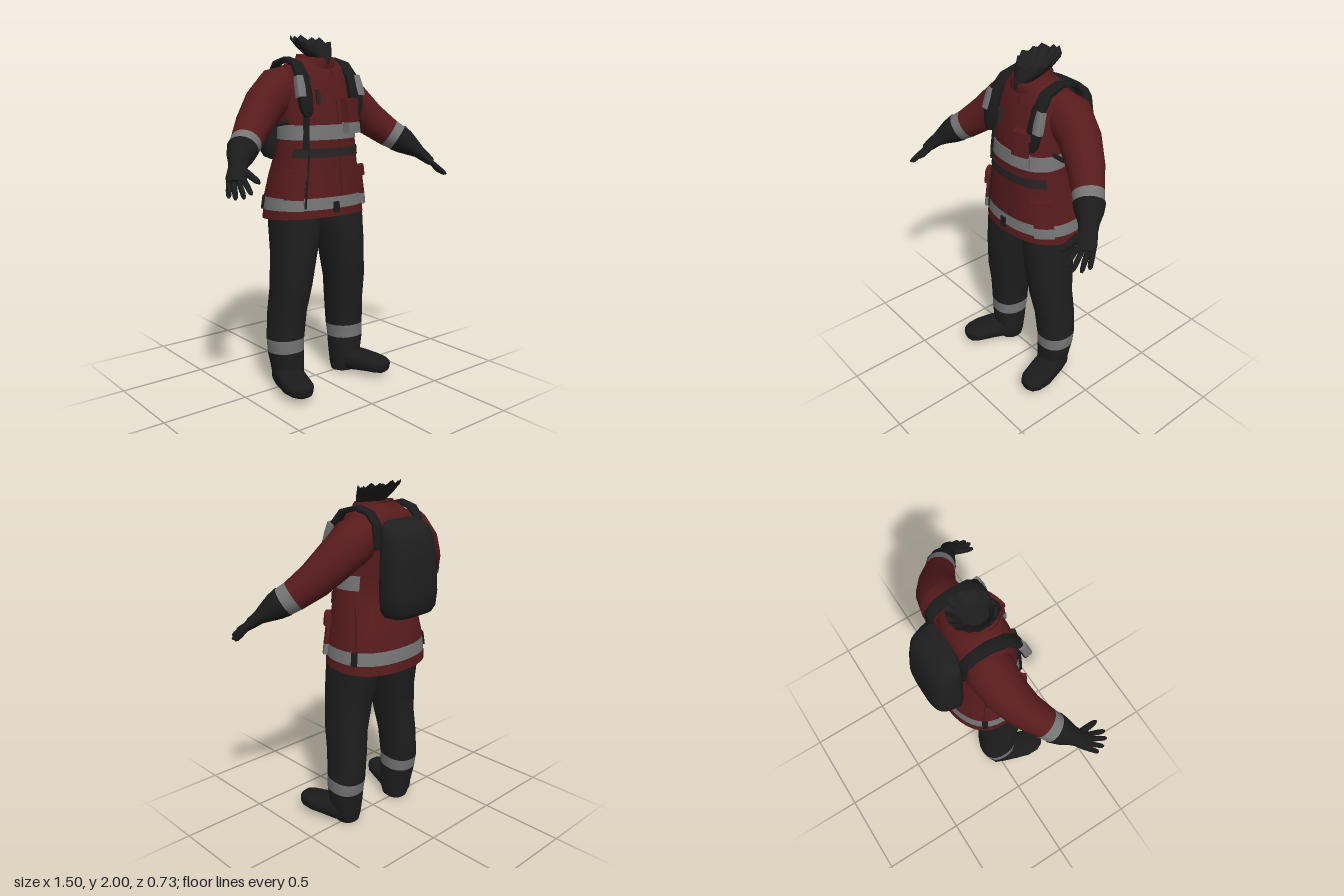
import * as THREE from 'three';
import { toCreasedNormals } from 'three/addons/utils/BufferGeometryUtils.js';

const V = (x, y, z) => new THREE.Vector3(x, y, z);
const pow = (c, e) => Math.sign(c) * Math.abs(c) ** (2 / e);
const rad = THREE.MathUtils.degToRad;

export function createModel() {
  const group = new THREE.Group();
  const mat = (name, color) => Object.assign(new THREE.MeshStandardMaterial({ color }), { name });
  const red = mat('jacket red', 0x571b1d);
  const darkRed = mat('seam dark red', 0x451718);
  const silver = mat('reflective grey', 0x757575);
  const black = mat('trouser black', 0x1e1e1e);
  const gear = mat('gear black', 0x1b1b1b);
  const belt = mat('belt charcoal', 0x292222);

  const add = (name, geo, m) => {
    const mesh = new THREE.Mesh(geo, m);
    mesh.name = name;
    group.add(mesh);
    return mesh;
  };

  // Skin a list of rings; mats may hold one material per band between rings
  function loft(name, rings, mats, crease = 38) {
    const n = rings[0].length, pos = [], idx = [], list = [].concat(mats);
    const geo = new THREE.BufferGeometry(), palette = [...new Set(list)];
    rings.forEach(r => r.forEach(p => pos.push(p.x, p.y, p.z)));
    const bandMat = i => palette.indexOf(list[Math.min(i, list.length - 1)]);
    const cap = (r, flip) => {
      const c = rings[r].reduce((a, p) => a.add(p), V(0, 0, 0)).divideScalar(n);
      const ci = pos.push(c.x, c.y, c.z) / 3 - 1, start = idx.length;
      for (let j = 0; j < n; j++) {
        const a = r * n + j, b = r * n + (j + 1) % n;
        idx.push(ci, flip ? b : a, flip ? a : b);
      }
      geo.addGroup(start, idx.length - start, bandMat(r));
    };
    for (let i = 0; i < rings.length - 1; i++) {
      const start = idx.length;
      for (let j = 0; j < n; j++) {
        const a = i * n + j, b = i * n + (j + 1) % n;
        idx.push(a, b, b + n, a, b + n, a + n);
      }
      geo.addGroup(start, idx.length - start, bandMat(i));
    }
    cap(0, true);
    cap(rings.length - 1, false);
    geo.setIndex(idx);
    geo.setAttribute('position', new THREE.Float32BufferAttribute(pos, 3));
    return add(name, toCreasedNormals(geo, rad(crease)), palette);
  }

  // Level ring spanning zf (front) to zb (back); may be tilted, ragged or narrowed to the back
  const ring = (y, cx, rx, zf, zb, { n = 28, e = 2.3, tilt = 0, jag = 0, taper = 0 } = {}) =>
    Array.from({ length: n }, (_, i) => {
      const a = i / n * Math.PI * 2, q = -pow(Math.sin(a), e), dz = q * (zf - zb) / 2;
      return V(cx + rx * (1 + taper * q) * pow(Math.cos(a), e),
        y + tilt * dz + jag * ((i * 7) % 5) / 4, (zf + zb) / 2 + dz);
    });

  // Sweep along points [x, y, z, halfWidth, halfThickness]
  function sweep(name, pts, mats, { n = 14, e = 2, axis = null } = {}) {
    const P = pts.map(p => V(p[0], p[1], p[2]));
    const rings = P.map((p, i) => {
      const t = P[Math.min(i + 1, P.length - 1)].clone().sub(P[Math.max(i - 1, 0)]).normalize();
      const u = axis ? axis.clone() : V(0, 0, 0).crossVectors(t, V(0, 1, 0)).normalize();
      const v = V(0, 0, 0).crossVectors(t, u).normalize();
      return Array.from({ length: n }, (_, j) => {
        const a = j / n * Math.PI * 2;
        return p.clone().addScaledVector(u, pow(Math.cos(a), e) * pts[i][3])
          .addScaledVector(v, pow(Math.sin(a), e) * (pts[i][4] ?? pts[i][3]));
      });
    });
    return loft(name, rings, mats);
  }

  // Jacket profile: y, half width, front z, back z
  const body = [
    [0.99, 0.305, 0.205, -0.25], [1.04, 0.3, 0.2, -0.245], [1.11, 0.29, 0.195, -0.238],
    [1.22, 0.268, 0.188, -0.217], [1.35, 0.243, 0.178, -0.172], [1.43, 0.233, 0.175, -0.156],
    [1.51, 0.225, 0.168, -0.158], [1.65, 0.222, 0.148, -0.183], [1.76, 0.215, 0.118, -0.188],
    [1.82, 0.185, 0.098, -0.165], [1.865, 0.125, 0.07, -0.115]];
  const shell = body.map(([y, ...r], i) => ring(y, 0, ...r, { n: 40, tilt: i < 3 ? 0.08 - i * 0.025 : 0 }));
  // The first ring is the dark lining recessed above the hem
  loft('jacket', [ring(1.09, 0, 0.283, 0.185, -0.228, { n: 40 }), ...shell], [black, red, silver, red]);

  // Plate wrapped on the jacket between two angles (0 = left side, 90 = front)
  function plate(name, a0, a1, y0, y1, depth, m) {
    const geo = new THREE.BoxGeometry(1, 1, 1, Math.ceil((a1 - a0) / 9) + 4, 4, 1), p = geo.attributes.position;
    for (let i = 0; i < p.count; i++) {
      const a = rad(a0 + (a1 - a0) * (0.5 - p.getX(i))), y = y0 + (y1 - y0) * (p.getY(i) + 0.5);
      let k = 0;
      while (k < body.length - 2 && body[k + 1][0] < y) k++;
      const f = (y - body[k][0]) / (body[k + 1][0] - body[k][0]);
      const [, rx, zf, zb] = body[k].map((v, q) => v + (body[k + 1][q] - v) * f);
      const off = p.getZ(i) > 0 ? depth : -0.012;
      p.setXYZ(i, (rx + off) * pow(Math.cos(a), 2.3), y,
        (zf + zb) / 2 + ((zf - zb) / 2 + off) * pow(Math.sin(a), 2.3));
    }
    geo.computeVertexNormals();
    add(name, geo, m);
  }
  plate('chestBand', -36, 216, 1.43, 1.51, 0.004, silver);
  plate('waistBelt', 25, 155, 1.335, 1.385, 0.006, belt);
  plate('frontSeam', 84.5, 85.5, 1.12, 1.8, 0.002, darkRed);
  plate('frontClip', 89, 94, 1.03, 1.09, 0.008, gear);
  plate('chestPouch', 53, 77, 1.52, 1.645, 0.044, red);
  plate('chestPouchBand', 52, 78, 1.46, 1.52, 0.046, silver);
  plate('chestPouchFlap', 52, 78, 1.61, 1.65, 0.05, red);
  plate('harnessTail', 128, 138, 1.38, 1.58, 0.015, gear);
  plate('harnessCord', 126, 129, 1.06, 1.38, 0.006, gear);
  plate('chestToggle', 108, 114, 1.62, 1.7, 0.02, belt);
  for (const side of [1, -1]) {
    const at = (name, a0, a1, ...rest) =>
      plate(name, side > 0 ? a0 : 180 - a1, side > 0 ? a1 : 180 - a0, ...rest);
    at('hipPocket', 24, 50, 1.11, 1.25, 0.022, red);
    at('hipPocketBand', 24, 50, 1.05, 1.11, 0.022, silver);
    at('hipPocketFlap', 22, 52, 1.215, 1.27, 0.036, red);
    at('sideSeam', -29, -27, 1.11, 1.34, 0.004, darkRed);
    at('hemClip', -31, -23, 1.035, 1.11, 0.012, gear);
  }

  // Collar with an outward lip, and the ragged black lining that dips to a V at the throat
  const c = { n: 28, e: 2, tilt: -0.12 };
  loft('collar', [ring(1.81, 0, 0.15, 0.1, -0.15, c), ring(1.865, 0, 0.108, 0.112, -0.115, c),
    ring(1.88, 0, 0.098, 0.105, -0.118, c), ring(1.845, 0, 0.08, 0.07, -0.1, c)], red);
  const t = { n: 32, e: 2, tilt: -0.2 };
  loft('collarLining', [ring(1.85, 0, 0.022, 0.118, -0.06, t), ring(1.885, 0, 0.062, 0.112, -0.1, t),
    ring(1.92, 0, 0.092, 0.095, -0.132, t), ring(1.952, 0, 0.11, 0.075, -0.168, { ...t, jag: 0.025 }),
    ring(1.948, 0, 0.102, 0.066, -0.16, { ...t, jag: 0.025 }), ring(1.895, 0, 0.055, 0.045, -0.095, t)], black);

  // Air pack on the back
  const k = { n: 32, e: 3.4, taper: -0.1 }, slope = { ...k, tilt: 0.23 };
  k.taper = slope.taper = 0.1;
  loft('backpack', [ring(1.293, -0.008, 0.12, -0.215, -0.315, k), ring(1.306, -0.008, 0.15, -0.2, -0.342, k),
    ring(1.338, -0.008, 0.168, -0.188, -0.36, k), ring(1.42, -0.008, 0.174, -0.182, -0.368, k),
    ring(1.58, -0.008, 0.168, -0.18, -0.358, k), ring(1.71, -0.008, 0.156, -0.18, -0.342, k),
    ring(1.765, -0.008, 0.145, -0.18, -0.318, slope), ring(1.793, -0.008, 0.12, -0.185, -0.28, slope)], black);

  for (const s of [1, -1]) {
    const m = pts => pts.map(([x, ...r]) => [x * s, ...r]);

    // Trouser leg with reflective ankle band, running down into the heel
    const l = { n: 24, e: 2.3, tilt: 0.1 };
    loft('trouserLeg', [
      [0.01, 0.207, 0.07, 0.09, -0.058], [0.05, 0.211, 0.084, 0.1, -0.068],
      [0.15, 0.216, 0.092, 0.108, -0.088], [0.22, 0.222, 0.098, 0.11, -0.1],
      [0.295, 0.22, 0.099, 0.112, -0.115], [0.45, 0.21, 0.1, 0.125, -0.12], [0.6, 0.195, 0.107, 0.152, -0.11],
      [0.8, 0.172, 0.12, 0.165, -0.125], [0.95, 0.155, 0.133, 0.163, -0.155], [1.1, 0.147, 0.135, 0.15, -0.175],
    ].map(([y, cx, ...r]) => ring(y, cx * s, ...r, l)), [black, black, black, silver, black]);

    // Boot
    sweep('boot', m([[0.215, 0.074, -0.035, 0.07, 0.06], [0.23, 0.074, 0.04, 0.085, 0.064],
      [0.258, 0.078, 0.12, 0.086, 0.055], [0.281, 0.077, 0.19, 0.086, 0.046],
      [0.291, 0.077, 0.25, 0.075, 0.042], [0.296, 0.077, 0.285, 0.052, 0.038],
      [0.298, 0.075, 0.3, 0.025, 0.025]]), gear, { n: 20, e: 2.8 });

    // Sleeve with reflective cuff
    sweep('sleeve', m([[0.12, 1.735, -0.065, 0.1], [0.205, 1.698, -0.072, 0.126], [0.315, 1.614, -0.052, 0.113],
      [0.42, 1.512, 0, 0.098], [0.508, 1.434, 0.066, 0.084], [0.562, 1.396, 0.107, 0.077]]),
      [red, red, red, red, silver], { n: 20 });
    sweep('sleeveTab', m([[0.23, 1.525, 0.05, 0.012], [0.3, 1.515, 0.04, 0.012]]), gear, { n: 6 });

    // Glove: gauntlet and palm, then fingers and thumb
    sweep('glove', m([[0.55, 1.405, 0.098, 0.083], [0.583, 1.377, 0.128, 0.073], [0.618, 1.345, 0.163, 0.053],
      [0.642, 1.32, 0.19, 0.048, 0.038], [0.672, 1.284, 0.226, 0.053, 0.03],
      [0.69, 1.26, 0.25, 0.048, 0.022]]), gear, { n: 16 });
    const knuckles = [[0.656, 1.266, 0.278], [0.679, 1.259, 0.266], [0.699, 1.255, 0.246], [0.716, 1.252, 0.226]];
    const tips = [[0.672, 1.215, 0.36], [0.708, 1.198, 0.35], [0.734, 1.19, 0.315], [0.746, 1.195, 0.272]];
    const finger = (name, a, b, r) => {
      const mix = f => a.map((v, i) => v + (b[i] - v) * f);
      sweep(name, m([[...mix(-0.25), r], [...mix(0.5), r], [...mix(0.85), r * 0.85], [...mix(1), r * 0.4]]), gear, { n: 8 });
    };
    knuckles.forEach((a, i) => finger('finger', a, tips[i], 0.0145));
    finger('thumb', [0.628, 1.32, 0.21], [0.612, 1.262, 0.34], 0.018);

    // Pack strap over the shoulder with reflective patch
    const flat = { n: 12, e: 4, axis: V(1, 0, 0) };
    sweep('shoulderStrap', m([[0.15, 1.66, -0.195, 0.028, 0.01], [0.156, 1.79, -0.188, 0.03, 0.011],
      [0.158, 1.843, -0.14, 0.032, 0.012], [0.16, 1.862, -0.05, 0.034, 0.013], [0.165, 1.835, 0.045, 0.036, 0.015],
      [0.172, 1.76, 0.105, 0.04, 0.02], [0.178, 1.66, 0.135, 0.045, 0.022], [0.176, 1.59, 0.148, 0.038, 0.018],
      [0.172, 1.555, 0.155, 0.018, 0.01]]), gear, flat);
    sweep('strapPatch', m([[0.2, 1.77, 0.106, 0.022, 0.022], [0.203, 1.71, 0.126, 0.027, 0.023],
      [0.207, 1.66, 0.14, 0.026, 0.023]]), silver, flat);
  }
  return group;
}
